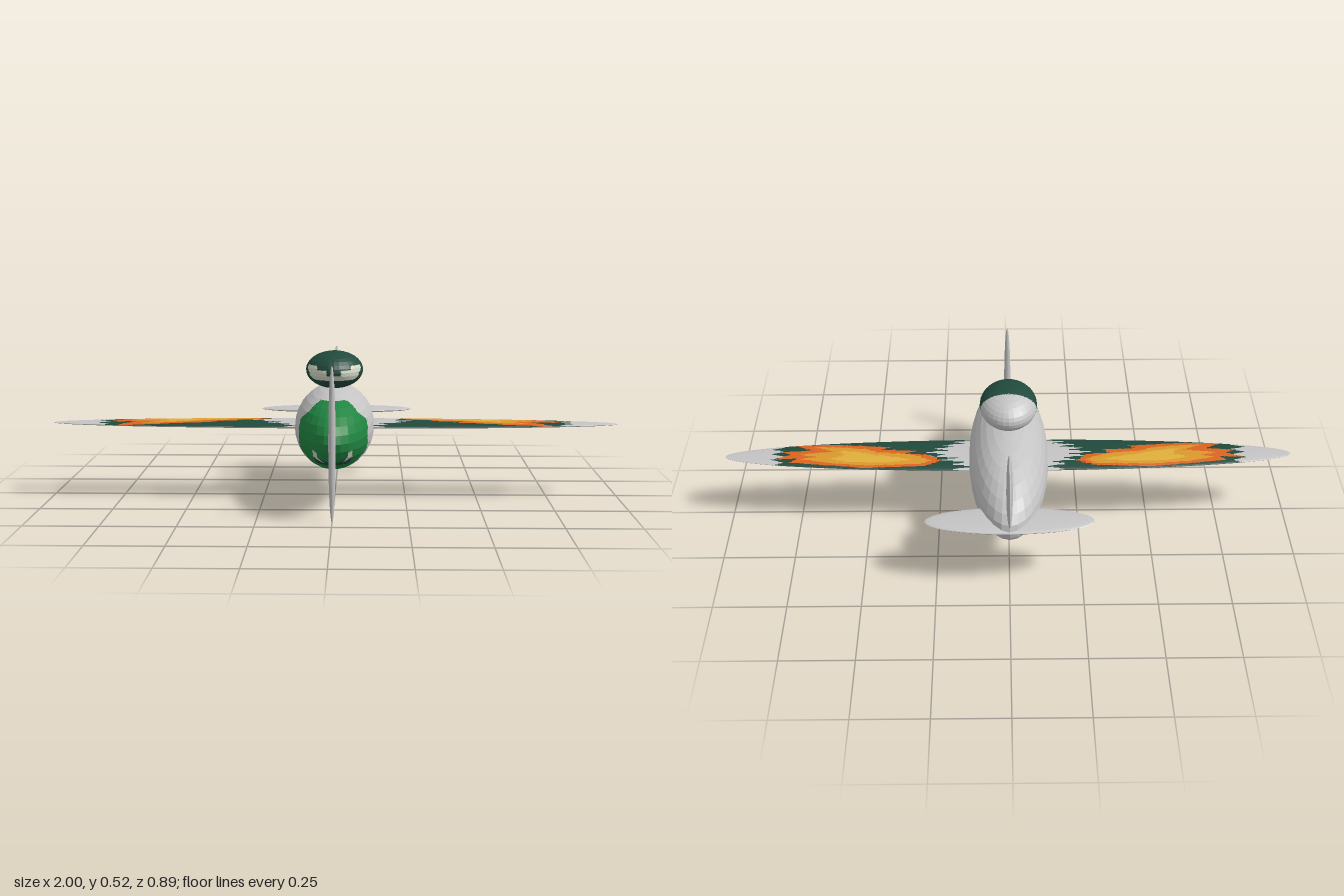
import * as THREE from 'three';

const mat = (name, color) => {
  const m = new THREE.MeshStandardMaterial({ color, flatShading: true });
  m.name = name;
  return m;
};

// True when (a, b) lies inside a closed outline of [a, b] points
function inside(a, b, outline) {
  let hit = false;
  for (let i = 0, j = outline.length - 1; i < outline.length; j = i++) {
    const [ai, bi] = outline[i], [aj, bj] = outline[j];
    if ((bi > b) !== (bj > b) && a < ((aj - ai) * (b - bi)) / (bj - bi) + ai) hit = !hit;
  }
  return hit;
}

// Triangle wave between 0 and 1
const zigzag = (t) => Math.abs(2 * (t - Math.floor(t + 0.5)));

// Splits each flat facet into n * n coplanar triangles, so paint can have a fine edge
function subdivide(geo, n) {
  const p = geo.toNonIndexed().attributes.position, out = [];
  const [a, b, c] = [0, 1, 2].map(() => new THREE.Vector3());
  for (let f = 0; f < p.count; f += 3) {
    [a, b, c].forEach((v, k) => v.fromBufferAttribute(p, f + k));
    const put = (i, j) => {
      const u = i / n, w = j / n, r = 1 - u - w;
      out.push(a.x * r + b.x * u + c.x * w, a.y * r + b.y * u + c.y * w, a.z * r + b.z * u + c.z * w);
    };
    for (let i = 0; i < n; i++) for (let j = 0; j < n - i; j++) {
      put(i, j); put(i + 1, j); put(i, j + 1);
      if (i + j < n - 1) { put(i + 1, j); put(i + 1, j + 1); put(i, j + 1); }
    }
  }
  const g = new THREE.BufferGeometry();
  g.setAttribute('position', new THREE.Float32BufferAttribute(out, 3));
  return g;
}

// Sorts triangles into material groups by the paint index at their centre
function paint(geo, pick, count) {
  const p = geo.attributes.position.array;
  const buckets = Array.from({ length: count }, () => []);
  for (let i = 0; i < p.length; i += 9) {
    const mid = (k) => (p[i + k] + p[i + 3 + k] + p[i + 6 + k]) / 3;
    const bucket = buckets[pick(mid(0), mid(1), mid(2))];
    for (let k = 0; k < 9; k++) bucket.push(p[i + k]);
  }
  const g = new THREE.BufferGeometry();
  g.setAttribute('position', new THREE.Float32BufferAttribute(buckets.flat(), 3));
  let start = 0;
  buckets.forEach((b, m) => {
    if (b.length) g.addGroup(start, b.length / 3, m);
    start += b.length / 3;
  });
  g.computeVertexNormals();
  return g;
}

// Flame outlines on one wing as [distance from centre, z]
const FLAME = [[0.24, -0.05], [0.3, -0.072], [0.5, -0.077], [0.66, -0.06], [0.77, -0.045], [0.74, -0.025],
  [0.83, -0.03], [0.77, -0.005], [0.8, 0.012], [0.7, 0.02], [0.77, 0.06], [0.62, 0.056], [0.5, 0.042],
  [0.42, 0.035], [0.45, 0.02], [0.33, 0.01], [0.36, -0.005], [0.27, -0.015]];
const FLAME_MID = [[0.27, -0.043], [0.31, -0.062], [0.5, -0.066], [0.63, -0.052], [0.73, -0.03], [0.68, -0.018],
  [0.74, -0.005], [0.62, 0.012], [0.69, 0.043], [0.58, 0.036], [0.5, 0.022], [0.47, 0.005], [0.35, -0.008]];
const FLAME_CORE = [[0.33, -0.04], [0.42, -0.052], [0.55, -0.05], [0.63, -0.03], [0.58, -0.012], [0.6, 0.018],
  [0.53, 0.008], [0.46, -0.012]];
// Canopy window outline as [z, y]
const WINDOW = [[0.2, 0.43], [0.2, 0.465], [0.13, 0.466], [0.12, 0.48], [0.065, 0.48], [0.07, 0.468],
  [0.09, 0.455], [0.09, 0.442], [0.105, 0.43]];

export function createModel() {
  const model = new THREE.Group();
  model.name = 'aeroplane';
  const grey = mat('bodyGrey', 0xc4c4c4);
  const green = mat('noseGreen', 0x218542);
  const dark = mat('darkGreen', 0x214a3d);
  const glass = mat('windowCream', 0xd6dbc8);
  const orange = mat('flameOrange', 0xdc6420);
  const amber = mat('flameAmber', 0xda982c);
  const yellow = mat('flameYellow', 0xe0ae3a);

  const add = (name, geo, material) => {
    const mesh = new THREE.Mesh(geo, material);
    mesh.name = name;
    model.add(mesh);
  };
  const ellipsoid = (center, radii, w = 32, h = 16) =>
    new THREE.SphereGeometry(1, w, h).scale(...radii).translate(...center);

  // Fuselage with a jagged green nose and small mouth marks
  const bodyY = 0.257;
  const nosePaint = (x, y, z) => {
    const angle = Math.atan2(y - bodyY, Math.abs(x));
    const edge = 0.237 - 0.04 * zigzag((angle * 4) / Math.PI);
    if (z < edge) return 0;
    if (inside(z, y, [[0.335, 0.205], [0.36, 0.23], [0.375, 0.225], [0.345, 0.183]])) return 3;
    if (inside(z, y, [[0.3, 0.175], [0.335, 0.203], [0.355, 0.198], [0.37, 0.17]])) return 2;
    return 1;
  };
  add('fuselage', paint(subdivide(ellipsoid([0, bodyY, -0.004], [0.14, 0.14, 0.425]), 5), nosePaint, 4),
    [grey, green, dark, glass]);

  // Canopy, dark in front with cream windows
  const canopyPaint = (x, y, z) => {
    if (z < 0) return 0;
    const gap = Math.abs(x) < 0.025 && y > 0.447;
    return inside(z, y, WINDOW) && !gap ? 2 : 1;
  };
  add('canopy', paint(subdivide(ellipsoid([0, 0.457, 0.027], [0.1, 0.065, 0.127]), 5), canopyPaint, 3),
    [grey, dark, glass]);

  // Wing, painted with flames on its upper face only
  const wingY = 0.26;
  const wingPaint = (x, y, z) => {
    const d = Math.abs(x);
    const root = 0.2 + 0.1 * (1 - Math.min(1, Math.abs(z) / 0.07)) - 0.07 * zigzag(z / 0.022);
    const tip = 0.84 - 0.05 * zigzag(z / 0.03);
    if (y < wingY || d < root || d > tip) return 0;
    if (inside(d, z, FLAME_CORE)) return 4;
    if (inside(d, z, FLAME_MID)) return 3;
    return inside(d, z, FLAME) ? 2 : 1;
  };
  const wing = new THREE.SphereGeometry(1, 96, 160).rotateZ(-Math.PI / 2)
    .scale(1, 0.012, 0.09).translate(0, wingY, -0.003).toNonIndexed();
  add('wing', paint(wing, wingPaint, 5), [grey, dark, orange, amber, yellow]);

  // Tail surfaces and propeller
  add('tailplane', ellipsoid([0, 0.258, -0.363], [0.285, 0.011, 0.069]), grey);
  add('tailFin', ellipsoid([0, 0.36, -0.345], [0.011, 0.141, 0.098]), grey);
  add('propeller', ellipsoid([0, 0.26, 0.432], [0.012, 0.257, 0.013]), grey);
  return model;
}
